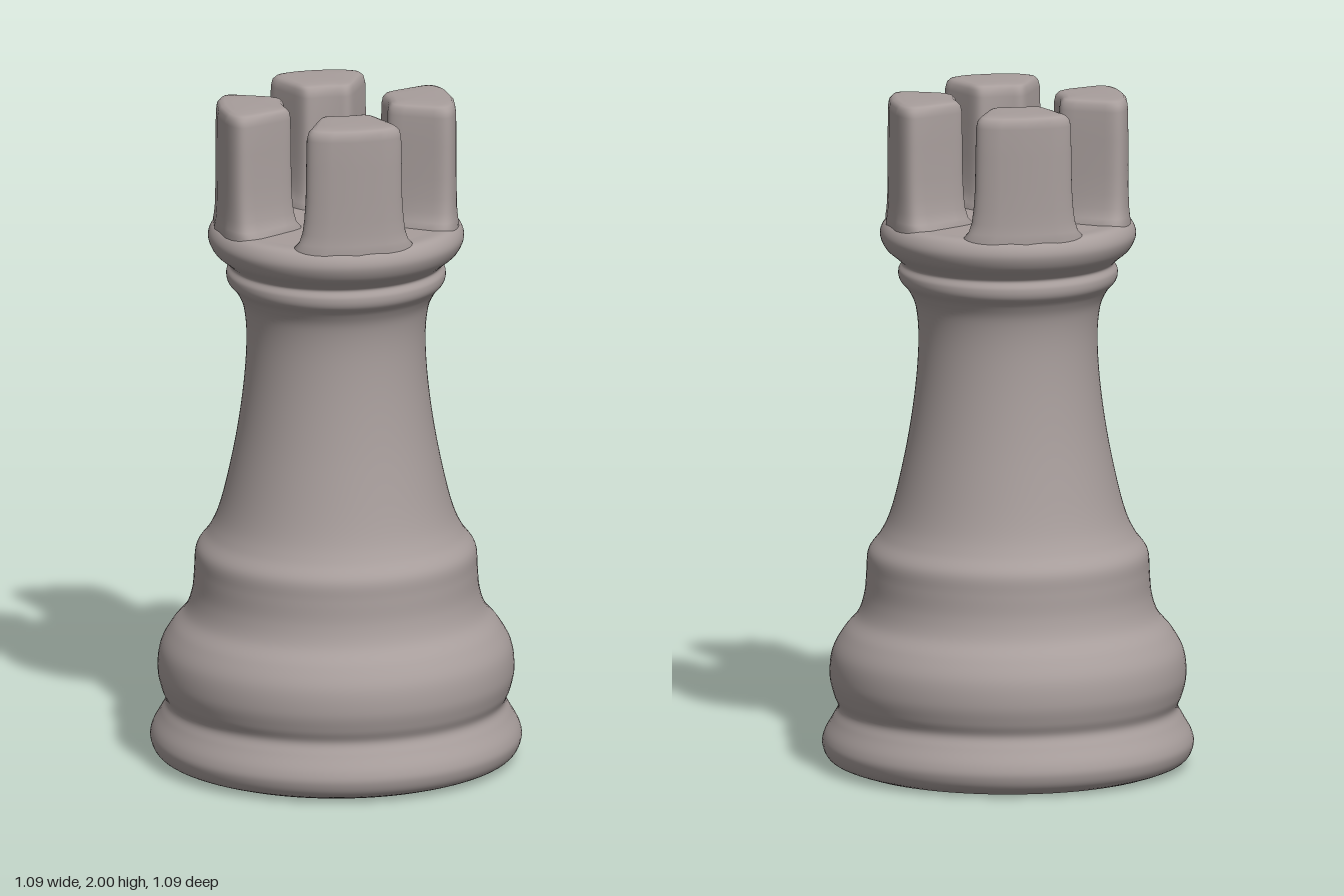
import * as THREE from 'three';

const stone = new THREE.MeshStandardMaterial({ color: 0xa89e9c });
stone.name = 'warm grey';

const FLOOR = 1.632;

function part(name, geometry) {
  const mesh = new THREE.Mesh(geometry, stone);
  mesh.name = name;
  return mesh;
}

// Smooth surface of revolution through a few [radius, height] points
function turned(points, steps) {
  const curve = new THREE.SplineCurve(points.map(([r, y]) => new THREE.Vector2(r, y)));
  return new THREE.LatheGeometry(curve.getPoints(steps), 96);
}

// Battlement block: rounded ring sectors stacked as [height, inner radius, outer radius, half angle]
function merlonGeometry() {
  const levels = [
    [FLOOR - 0.03, 0.115, 0.362, 0.58], [FLOOR + 0.003, 0.122, 0.362, 0.57],
    [1.65, 0.135, 0.359, 0.525], [1.68, 0.143, 0.356, 0.495], [1.72, 0.147, 0.355, 0.478],
    [1.78, 0.149, 0.354, 0.465], [1.88, 0.15, 0.354, 0.46], [1.965, 0.151, 0.353, 0.455],
    [1.985, 0.155, 0.35, 0.44], [1.995, 0.164, 0.341, 0.41], [1.999, 0.178, 0.328, 0.36],
    [2, 0.21, 0.295, 0.2], [2, 0.2525, 0.2525, 0],
  ];
  const N = 72;
  const square = (v) => Math.sign(v) * Math.abs(v) ** 0.32;
  const positions = [], index = [];
  levels.forEach(([y, rIn, rOut, half], j) => {
    for (let i = 0; i < N; i++) {
      const t = (i / N) * Math.PI * 2;
      const r = (rIn + rOut) / 2 + ((rOut - rIn) / 2) * square(Math.cos(t));
      const a = half * square(Math.sin(t));
      positions.push(r * Math.sin(a), y, r * Math.cos(a));
      if (j === levels.length - 1) continue;
      const p = j * N + i, q = j * N + ((i + 1) % N);
      index.push(p, q, q + N, p, q + N, p + N);
    }
  });
  const geometry = new THREE.BufferGeometry();
  geometry.setAttribute('position', new THREE.Float32BufferAttribute(positions, 3));
  geometry.setIndex(index);
  geometry.computeVertexNormals();
  return geometry;
}

export function createModel() {
  const rook = new THREE.Group();
  rook.name = 'rook';

  // Foot, bulge, waist and collar in one turned profile
  rook.add(part('body', turned([
    [0.47, 0], [0.525, 0.022], [0.545, 0.06], [0.54, 0.095], [0.515, 0.14], [0.499, 0.175],
    [0.513, 0.215], [0.524, 0.27], [0.516, 0.34], [0.483, 0.4], [0.442, 0.45], [0.422, 0.51],
    [0.416, 0.58], [0.41, 0.64], [0.375, 0.69], [0.347, 0.75], [0.32, 0.85], [0.29, 1.0],
    [0.27, 1.15], [0.263, 1.28], [0.271, 1.37], [0.292, 1.42], [0.318, 1.452], [0.322, 1.48],
    [0.312, 1.502], [0.328, 1.52], [0.36, 1.548], [0.376, 1.585], [0.368, 1.615],
    [0.345, FLOOR], [0.3, FLOOR],
  ], 180)));

  // Platform inside the battlements
  const platform = part('platform', new THREE.CircleGeometry(0.3, 96));
  platform.rotation.x = -Math.PI / 2;
  platform.position.y = FLOOR;
  rook.add(platform);

  // Underside
  const underside = part('underside', new THREE.CircleGeometry(0.47, 96));
  underside.rotation.x = Math.PI / 2;
  rook.add(underside);

  // Four battlements facing front, back, left and right
  const geometry = merlonGeometry();
  for (let k = 0; k < 4; k++) {
    const merlon = part('battlement', geometry);
    merlon.rotation.y = (k * Math.PI) / 2;
    rook.add(merlon);
  }
  return rook;
}
